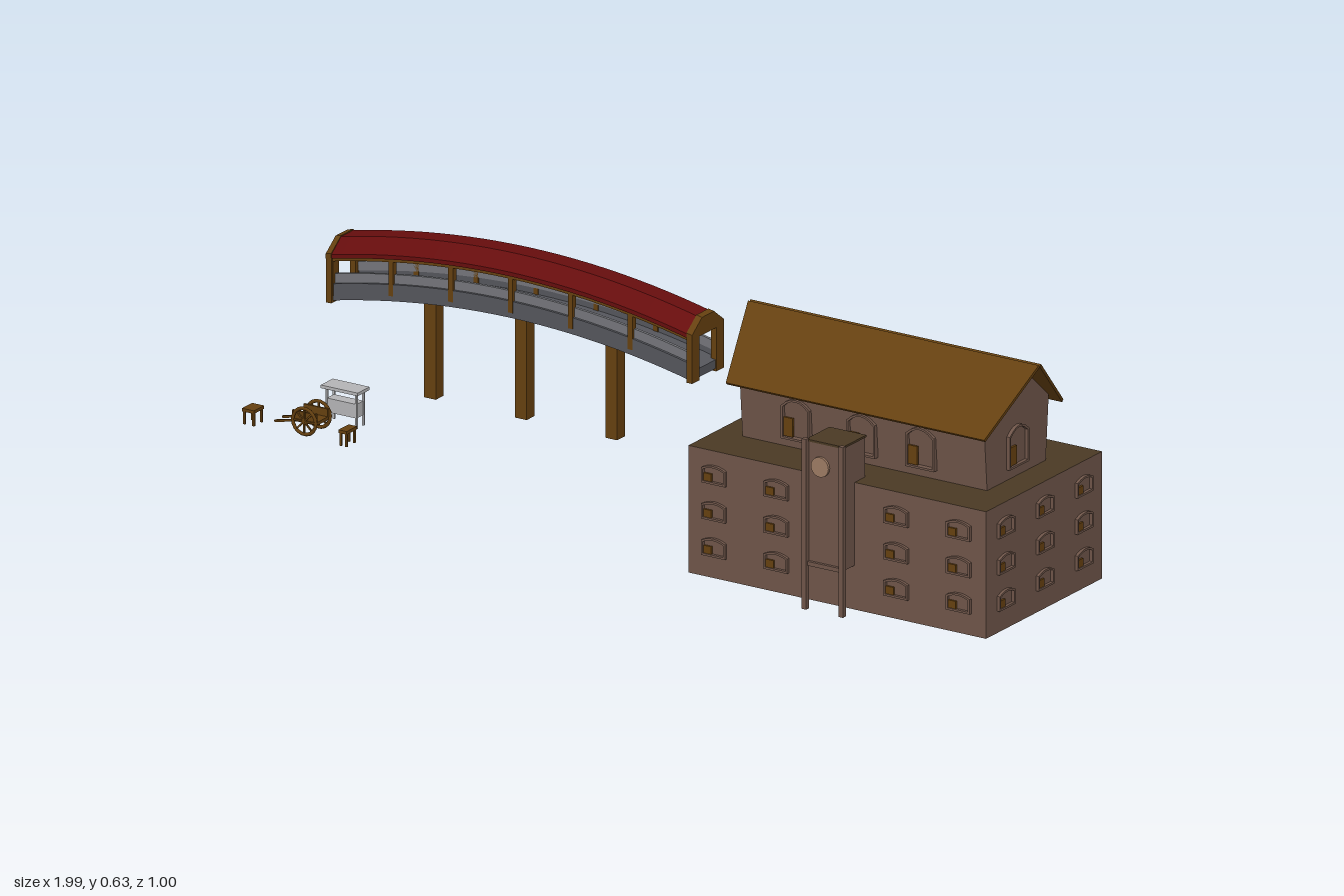
import * as THREE from 'three';

const mat = (name, color, side = THREE.FrontSide) => {
  const m = new THREE.MeshStandardMaterial({ color, side });
  m.name = name;
  return m;
};

export function createModel() {
  const root = new THREE.Group();
  const stone = mat('brown stone', 0x6e5549, THREE.DoubleSide);
  const terraceMat = mat('dark terrace', 0x4a3924, THREE.DoubleSide);
  const wood = mat('wood', 0x654010);
  const red = mat('red roof', 0x660d0d);
  const grey = mat('dark grey', 0x55565c);
  const lightGrey = mat('mid grey', 0x74757a);
  const pale = mat('pale grey', 0xb4b4b6);
  const tan = mat('tan', 0x9c7a63);

  const group = (name, parent = root) => {
    const g = new THREE.Group();
    g.name = name;
    parent.add(g);
    return g;
  };
  const add = (parent, name, geo, m, x = 0, y = 0, z = 0) => {
    const mesh = new THREE.Mesh(geo, m);
    mesh.name = name;
    mesh.position.set(x, y, z);
    parent.add(mesh);
    return mesh;
  };
  // box given by its min and max corners
  const box = (parent, name, m, x0, x1, y0, y1, z0, z1) =>
    add(parent, name, new THREE.BoxGeometry(x1 - x0, y1 - y0, z1 - z0), m,
      (x0 + x1) / 2, (y0 + y1) / 2, (z0 + z1) / 2);
  const shape = pts => new THREE.Shape(pts.map(p => new THREE.Vector2(p[0], p[1])));

  // window frame with a shallow arched head and a small open shutter, facing +z
  const arch = (path, w, h) => {
    path.moveTo(-w / 2, -h / 2);
    path.lineTo(w / 2, -h / 2);
    path.lineTo(w / 2, h * 0.3);
    path.quadraticCurveTo(0, h * 0.68, -w / 2, h * 0.3);
    path.lineTo(-w / 2, -h / 2);
    return path;
  };
  const addWindow = (parent, w, h, x, y, z, turn = 0) => {
    const g = group('window', parent);
    const s = arch(new THREE.Shape(), w, h);
    s.holes.push(arch(new THREE.Path(), w - 0.008, h - 0.008));
    add(g, 'windowFrame', new THREE.ExtrudeGeometry(s, { depth: 0.012, bevelEnabled: false, curveSegments: 6 }), stone, 0, 0, -0.006);
    box(g, 'shutter', wood, -w * 0.42, -w * 0.1, -h * 0.43, h * 0.02, 0, 0.004);
    g.position.set(x, y, z);
    g.rotation.y = turn;
  };

  // ---- Lower building: open-bottomed walls with a flat terrace ----
  const building = group('building');
  const [X0, X1, Y0, Y1, Z0, Z1] = [0.343, 0.988, 0.16, 0.405, 0.065, 0.449];
  const xc = (X0 + X1) / 2, yc = (Y0 + Y1) / 2, zc = (Z0 + Z1) / 2;
  const wall = (name, w, x, z, turn) => {
    add(building, name, new THREE.PlaneGeometry(w, Y1 - Y0), stone, x, yc, z).rotation.y = turn;
  };
  wall('frontWall', X1 - X0, xc, Z1, 0);
  wall('backWall', X1 - X0, xc, Z0, Math.PI);
  wall('leftWall', Z1 - Z0, X1, zc, Math.PI / 2);
  wall('rightWall', Z1 - Z0, X0, zc, -Math.PI / 2);
  add(building, 'terrace', new THREE.PlaneGeometry(X1 - X0, Z1 - Z0), terraceMat, xc, Y1, zc).rotation.x = -Math.PI / 2;
  for (const y of [0.22, 0.29, 0.36]) {
    for (const z of [0.128, 0.257, 0.386]) {
      addWindow(building, 0.052, 0.036, X1, y, z, Math.PI / 2);
      addWindow(building, 0.052, 0.036, X0, y, z, -Math.PI / 2);
    }
    for (const x of [0.4, 0.535, 0.795, 0.93]) addWindow(building, 0.052, 0.036, x, y, Z1);
  }

  // ---- Clock tower on two legs ----
  const tower = group('clockTower', building);
  box(tower, 'towerBody', stone, 0.627, 0.703, 0.245, 0.482, 0.415, 0.488);
  box(tower, 'towerTop', terraceMat, 0.625, 0.705, 0.482, 0.486, 0.413, 0.49);
  for (const x of [0.625, 0.705]) box(tower, 'towerLeg', stone, x - 0.005, x + 0.005, 0.16, 0.488, 0.488, 0.498);
  box(tower, 'towerSill', stone, 0.627, 0.703, 0.244, 0.252, 0.486, 0.494);
  add(tower, 'clockFace', new THREE.CylinderGeometry(0.019, 0.019, 0.008, 20), tan, 0.656, 0.438, 0.489).rotation.x = Math.PI / 2;

  // ---- Upper house with gabled walls flaring slightly outwards ----
  const house = group('upperHouse');
  const zh = 0.257;
  const gable = shape([[-0.097, 0.405], [0.097, 0.405], [0.107, 0.53], [0, 0.622], [-0.107, 0.53]]);
  const body = new THREE.ExtrudeGeometry(gable, { depth: 0.53, bevelEnabled: false });
  body.rotateY(Math.PI / 2);
  add(house, 'houseWalls', body, stone, 0.398, 0, zh);
  for (const x of [0.52, 0.662, 0.79]) {
    addWindow(house, 0.062, 0.08, x, 0.463, zh + 0.104);
    addWindow(house, 0.062, 0.08, x, 0.463, zh - 0.104, Math.PI);
  }
  addWindow(house, 0.064, 0.08, 0.929, 0.465, zh, Math.PI / 2);
  addWindow(house, 0.064, 0.08, 0.397, 0.465, zh, -Math.PI / 2);

  // roof slopes, longer along the ridge than along the eaves
  for (const turn of [0, Math.PI]) {
    const slope = group('roofSlope', house);
    const geo = new THREE.ExtrudeGeometry(
      shape([[-0.28, -0.17], [0.28, -0.17], [0.315, 0], [-0.315, 0]]), { depth: 0.006, bevelEnabled: false });
    geo.rotateX(-0.844);
    add(slope, 'roofPanel', geo, wood);
    slope.position.set(0.664, 0.624, zh);
    slope.rotation.y = turn;
  }

  // ---- Covered bridge ----
  const bridge = group('bridge');
  const bx = -0.6, bz = -0.45, half = 0.395;
  const rise = x => 0.045 * (1 - ((x - bx) / half) ** 2);
  // sweeps a (z, y) profile along x, following the arch
  const sweep = (name, pts, m, x0 = bx - half, x1 = bx + half, steps = 24) => {
    const geo = new THREE.ExtrudeGeometry(shape(pts.map(([z, y]) => [-z, y])), { depth: x1 - x0, steps, bevelEnabled: false });
    geo.rotateY(Math.PI / 2).translate(x0, 0, 0);
    const p = geo.attributes.position;
    for (let i = 0; i < p.count; i++) p.setY(i, p.getY(i) + rise(p.getX(i)));
    geo.computeVertexNormals();
    return add(bridge, name, geo, m, 0, 0, bz);
  };
  const rect = (z0, z1, y0, y1) => [[z0, y0], [z1, y0], [z1, y1], [z0, y1]];
  const hood = (w, top, h) => [[-w, top - 0.025], [-0.02, top], [0.02, top], [w, top - 0.025],
    [w, top - 0.025 - h], [0.02, top - h], [-0.02, top - h], [-w, top - 0.025 - h]];
  sweep('bridgeRoof', hood(0.052, 0.275, 0.008), red);
  sweep('roofLining', hood(0.049, 0.267, 0.006), wood);
  sweep('deck', rect(-0.044, 0.044, 0.163, 0.18), grey);
  for (const s of [-1, 1]) {
    sweep('parapet', rect(s * 0.038, s * 0.047, 0.16, 0.192), grey);
    sweep('railing', rect(s * 0.036, s * 0.042, 0.192, 0.21), lightGrey);
    sweep('eavesBeam', rect(s * 0.038, s * 0.048, 0.236, 0.244), wood);
    for (let i = 0; i < 7; i++) {
      const x = bx + (i - 3) * 0.1297;
      const r = rise(x);
      box(bridge, 'post', wood, x - 0.005, x + 0.005, 0.17 + r, 0.246 + r,
        bz + s * 0.042 - 0.006, bz + s * 0.042 + 0.006);
    }
  }
  for (const s of [-1, 1]) {
    const x = bx + s * (half - 0.004);
    sweep('portalHead', [[-0.053, 0.252], [-0.02, 0.277], [0.02, 0.277], [0.053, 0.252], [0.053, 0.243], [-0.053, 0.243]],
      wood, x - 0.006, x + 0.006, 1);
    for (const t of [-1, 1]) box(bridge, 'portalPost', wood, x - 0.006, x + 0.006, 0.158, 0.252,
      bz + t * 0.04 - 0.0125, bz + t * 0.04 + 0.0125);
  }
  for (const x of [-0.797, -0.6, -0.404])
    box(bridge, 'pier', wood, x - 0.0125, x + 0.0125, 0, 0.163 + rise(x), bz - 0.013, bz + 0.013);

  // ---- Market stall ----
  const stall = group('stall');
  box(stall, 'canopy', pale, -0.643, -0.563, 0.232, 0.238, 0.12, 0.16);
  box(stall, 'counter', pale, -0.635, -0.571, 0.185, 0.212, 0.128, 0.152);
  for (const x of [-0.635, -0.571]) for (const z of [0.128, 0.152])
    box(stall, 'stallPost', pale, x - 0.002, x + 0.002, 0.165, 0.234, z - 0.002, z + 0.002);

  // ---- Hand cart ----
  const cart = group('cart');
  box(cart, 'cartBed', wood, -0.632, -0.58, 0.205, 0.211, 0.23, 0.27);
  for (const z of [0.231, 0.269]) box(cart, 'cartSide', wood, -0.632, -0.58, 0.21, 0.226, z - 0.002, z + 0.002);
  for (const z of [0.226, 0.274]) {
    add(cart, 'wheelRim', new THREE.TorusGeometry(0.025, 0.0035, 6, 18), wood, -0.604, 0.21, z);
    for (let i = 0; i < 4; i++)
      add(cart, 'spoke', new THREE.BoxGeometry(0.05, 0.003, 0.003), wood, -0.604, 0.21, z).rotation.z = i * Math.PI / 4;
  }
  add(cart, 'axle', new THREE.CylinderGeometry(0.003, 0.003, 0.052, 8), wood, -0.604, 0.21, 0.25).rotation.x = Math.PI / 2;
  for (const z of [0.237, 0.263])
    add(cart, 'handle', new THREE.BoxGeometry(0.055, 0.004, 0.004), wood, -0.648, 0.2, z).rotation.z = 0.22;

  // ---- Stools ----
  for (const [x, w] of [[-0.73, 0.026], [-0.525, 0.018]]) {
    const stool = group('stool');
    box(stool, 'seat', wood, x - w / 2, x + w / 2, 0.2, 0.206, 0.234, 0.268);
    for (const sx of [-1, 1]) for (const z of [0.238, 0.264]) {
      const lx = x + sx * (w / 2 - 0.003);
      box(stool, 'stoolLeg', wood, lx - 0.002, lx + 0.002, 0.175, 0.201, z - 0.002, z + 0.002);
    }
  }
  return root;
}
